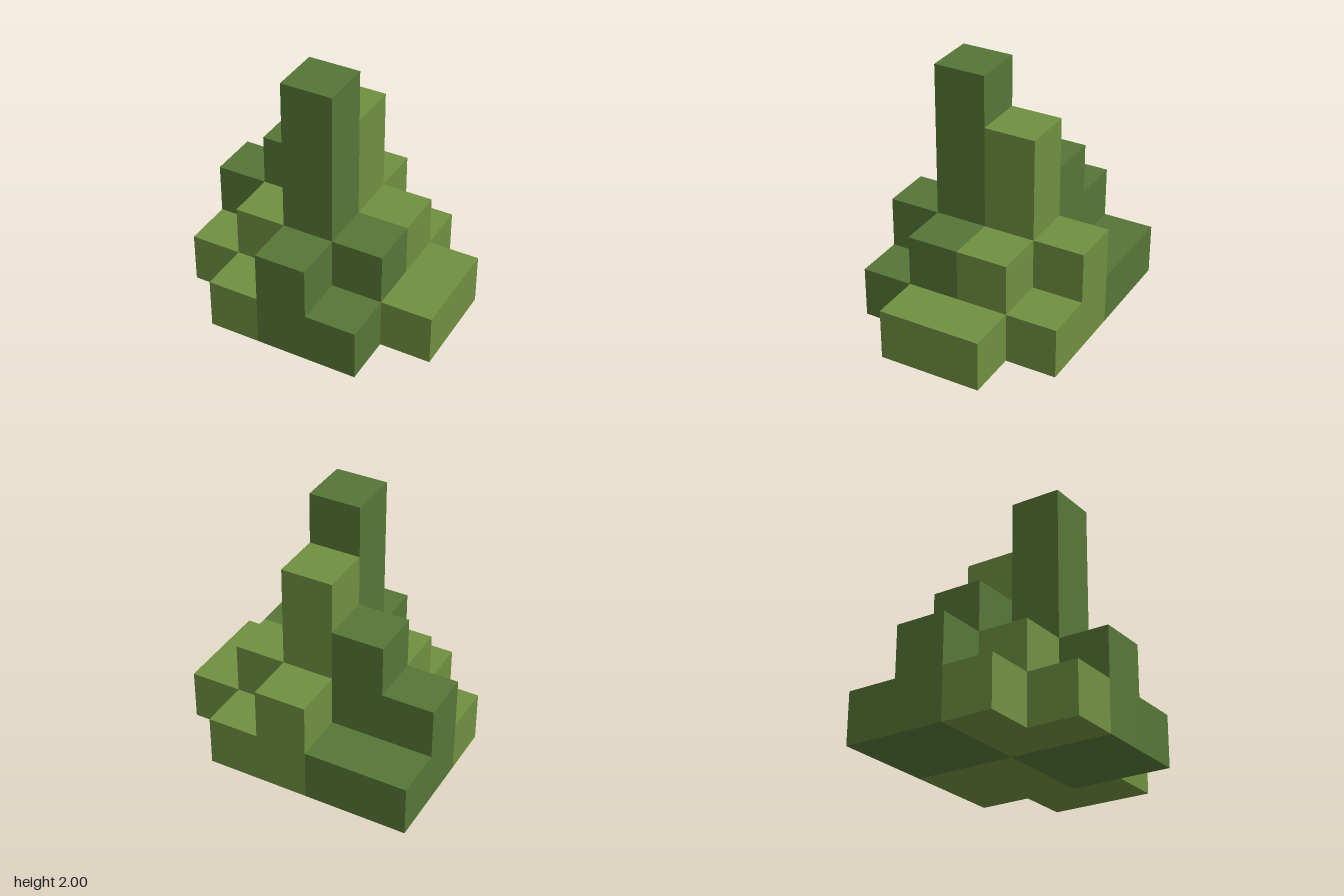
import * as THREE from 'three';
import { mergeGeometries } from 'three/addons/utils/BufferGeometryUtils.js';

const CELL = 0.4;

// Step heights in cells: rows run back to front, columns run from -x to +x
const HEIGHTS = [
  [1, 1, 2, 1, 0],
  [2, 3, 4, 2, 1],
  [1, 2, 5, 2, 1],
  [0, 1, 2, 1, 0],
];
const SIDES = [[0, 1], [1, 0], [0, -1], [-1, 0]]; // neighbour offsets in x and z

const heightAt = (col, row) => HEIGHTS[row]?.[col] ?? 0;

// Top, underside and exposed walls of one column
function columnFaces(col, row) {
  const h = heightAt(col, row);
  const x = (col - 2) * CELL;
  const z = (row - 1.5) * CELL;
  const faces = [
    new THREE.PlaneGeometry(CELL, CELL).rotateX(-Math.PI / 2).translate(x, h * CELL, z),
    new THREE.PlaneGeometry(CELL, CELL).rotateX(Math.PI / 2).translate(x, 0, z),
  ];
  for (const [dx, dz] of SIDES) {
    const low = heightAt(col + dx, row + dz);
    if (low >= h) continue;
    faces.push(new THREE.PlaneGeometry(CELL, (h - low) * CELL)
      .rotateY(Math.atan2(dx, dz))
      .translate(x + dx * CELL / 2, (h + low) * CELL / 2, z + dz * CELL / 2));
  }
  return faces;
}

// One stepped quarter of the mound, covering a range of columns and rows
function steppedQuarter(name, material, colStart, colEnd, rowStart, rowEnd) {
  const faces = [];
  for (let row = rowStart; row <= rowEnd; row++) {
    for (let col = colStart; col <= colEnd; col++) {
      if (heightAt(col, row) > 0) faces.push(...columnFaces(col, row));
    }
  }
  const mesh = new THREE.Mesh(mergeGeometries(faces), material);
  mesh.name = name;
  return mesh;
}

export function createModel() {
  const darkGreen = new THREE.MeshStandardMaterial({ color: 0x567636 });
  darkGreen.name = 'darkGreen';
  const lightGreen = new THREE.MeshStandardMaterial({ color: 0x708f41 });
  lightGreen.name = 'lightGreen';

  const model = new THREE.Group();
  model.name = 'steppedMound';
  model.add(
    steppedQuarter('backRightSteps', darkGreen, 0, 1, 0, 1),
    steppedQuarter('backLeftSteps', lightGreen, 2, 4, 0, 1),
    steppedQuarter('frontRightSteps', lightGreen, 0, 1, 2, 3),
    steppedQuarter('frontTowerSteps', darkGreen, 2, 3, 2, 3),
    steppedQuarter('frontLeftStep', lightGreen, 4, 4, 2, 2),
  );
  return model;
}
